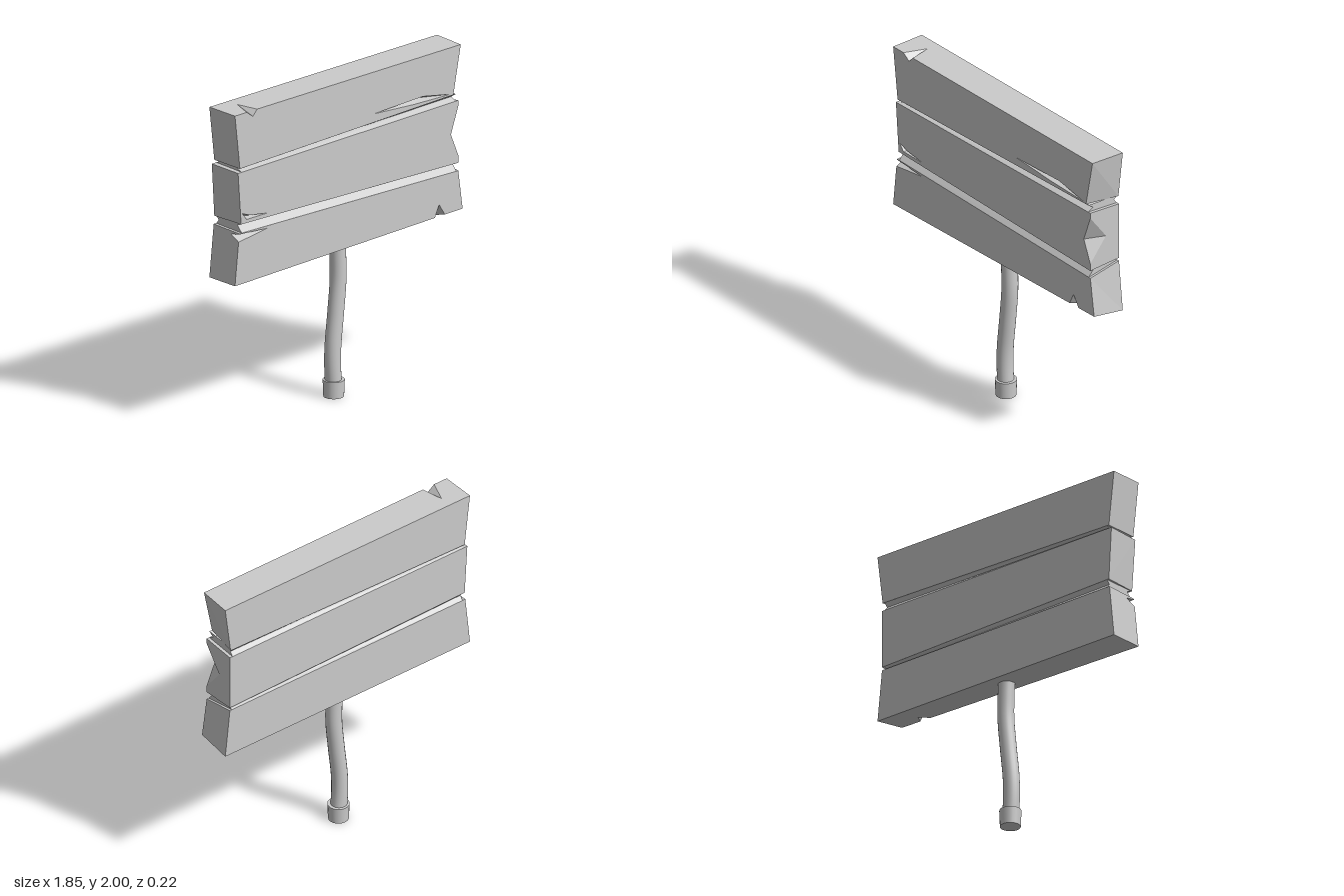
import * as THREE from 'three';

const FRONT = 0.11, BACK = -0.11;
const SIDE_DIRS = [[0, 1, 0], [1, 0, 0], [0, -1, 0], [-1, 0, 0]]; // top, right, bottom, left
const V = (p, z) => new THREE.Vector3(p[0], p[1], z ?? p[2]);

// Collects flat polygons (with optional holes), each turned to face along "out".
class FaceBuilder {
  constructor() { this.data = []; }

  face(points, out, holes = []) {
    const dir = new THREE.Vector3(...out);
    const size = out.map(Math.abs);
    const drop = size.indexOf(Math.max(...size));
    const flat = p => new THREE.Vector2(...p.toArray().filter((_, i) => i !== drop));
    const all = [...points, ...holes.flat()];
    const tris = THREE.ShapeUtils.triangulateShape(points.map(flat), holes.map(h => h.map(flat)));
    for (const t of tris) this.triangle(...t.map(i => all[i]), dir);
  }

  triangle(a, b, c, dir) {
    const n = b.clone().sub(a).cross(c.clone().sub(a));
    for (const p of n.dot(dir) < 0 ? [a, c, b] : [a, b, c]) this.data.push(p.x, p.y, p.z);
  }

  mesh(name, material) {
    const g = new THREE.BufferGeometry();
    g.setAttribute('position', new THREE.Float32BufferAttribute(this.data, 3));
    g.computeVertexNormals();
    const m = new THREE.Mesh(g, material);
    m.name = name;
    return m;
  }
}

// Corners run top left, top right, bottom right, bottom left as seen from the front.
// Notches break an edge between two fractions t; pits are cracks inside the front face.
function plank(name, material, front, back, notches, pits = []) {
  const fb = new FaceBuilder();
  const outline = [];
  const f = front.map(p => V(p, FRONT)), b = back.map(p => V(p, BACK));
  for (let i = 0; i < 4; i++) {
    const j = (i + 1) % 4;
    const side = [f[i]];
    outline.push(f[i]);
    for (const n of notches.filter(n => n.edge === i)) {
      const [start, end] = n.t.map(t => f[i].clone().lerp(f[j], t));
      const tip = V(n.tip, FRONT), inner = V(n.inner);
      const mid = start.clone().add(end).add(tip).add(inner).divideScalar(4);
      outline.push(start, tip, end);
      side.push(start, inner, end);
      for (const p of [start, end]) {
        const centre = p.clone().add(tip).add(inner).divideScalar(3);
        fb.triangle(p, tip, inner, mid.clone().sub(centre));
      }
    }
    side.push(f[j], b[j], b[i]);
    fb.face(side, SIDE_DIRS[i]);
  }
  const rims = pits.map(p => p.rim.map(q => V(q, FRONT)));
  fb.face(outline, [0, 0, 1], rims);
  fb.face(b, [0, 0, -1]);
  rims.forEach((rim, k) => rim.forEach((p, i) =>
    fb.triangle(p, rim[(i + 1) % rim.length], V(pits[k].inner), new THREE.Vector3(0, 0, 1))));
  return fb.mesh(name, material);
}

// V-shaped seam on both faces; each end lists top, valley and bottom heights.
function seam(name, material, x, frontY, backY) {
  const fb = new FaceBuilder();
  const loops = x.map((px, e) => [
    ...frontY[e].map((y, i) => new THREE.Vector3(px, y, [FRONT, 0.072, FRONT][i])),
    ...backY[e].map((y, i) => new THREE.Vector3(px, y, [BACK, -0.088, BACK][i])).reverse(),
  ]);
  const [l, r] = loops;
  for (const i of [0, 1, 3, 4]) fb.face([l[i], r[i], r[i + 1], l[i + 1]], [0, 0, i < 2 ? 1 : -1]);
  fb.face(l, [-1, 0, 0]);
  fb.face(r, [1, 0, 0]);
  return fb.mesh(name, material);
}

export function createModel() {
  const model = new THREE.Group();
  model.name = 'woodenSign';
  const wood = new THREE.MeshStandardMaterial({ color: 0xcccccc, flatShading: true, side: THREE.DoubleSide });
  const smooth = new THREE.MeshStandardMaterial({ color: 0xcccccc });

  // Three rough planks
  const board = new THREE.Group();
  board.name = 'board';
  board.add(
    plank('topPlank', wood,
      [[-0.925, 2], [0.905, 2], [0.845, 1.7], [-0.885, 1.66]],
      [[-0.925, 2], [0.92, 2], [0.88, 1.69], [-0.885, 1.66]],
      [{ edge: 0, t: [0.052, 0.098], tip: [-0.78, 1.963], inner: [-0.775, 2, -0.03] }],
      [{ rim: [[0.2, 1.738], [0.6, 1.75], [0.82, 1.709], [0.53, 1.717]], inner: [0.6, 1.728, 0.06] }]),
    plank('middlePlank', wood,
      [[-0.9, 1.635], [0.885, 1.655], [0.885, 1.265], [-0.875, 1.31]],
      [[-0.905, 1.64], [0.885, 1.64], [0.885, 1.275], [-0.885, 1.31]],
      [{ edge: 1, t: [0.09, 0.88], tip: [0.825, 1.455], inner: [0.885, 1.46, -0.01] }],
      [{ rim: [[-0.865, 1.375], [-0.8, 1.35], [-0.66, 1.33], [-0.83, 1.33]], inner: [-0.815, 1.337, 0.06] }]),
    plank('bottomPlank', wood,
      [[-0.89, 1.255], [0.885, 1.215], [0.92, 0.97], [-0.925, 0.935]],
      [[-0.89, 1.26], [0.885, 1.255], [0.92, 0.935], [-0.925, 0.935]],
      [
        { edge: 2, t: [0.078, 0.122], tip: [0.73, 1.04], inner: [0.735, 0.956, 0.04] },
        { edge: 3, t: [0.84, 0.985], tip: [-0.66, 1.235], inner: [-0.892, 1.237, 0.04] },
      ]));

  // Grooves joining the planks
  board.add(
    seam('upperSeam', wood, [-0.87, 0.865],
      [[1.66, 1.648, 1.635], [1.7, 1.675, 1.655]],
      [[1.66, 1.65, 1.64], [1.69, 1.665, 1.64]]),
    seam('lowerSeam', wood, [-0.87, 0.87],
      [[1.31, 1.297, 1.254], [1.265, 1.26, 1.215]],
      [[1.31, 1.285, 1.26], [1.275, 1.265, 1.255]]));
  model.add(board);

  // Bent post
  const path = new THREE.CatmullRomCurve3(
    [[-0.02, 0.03], [-0.03, 0.2], [-0.027, 0.32], [-0.005, 0.52], [0.014, 0.72], [0.012, 0.87], [0.005, 1]]
      .map(p => V(p, 0)));
  const post = new THREE.Mesh(new THREE.TubeGeometry(path, 32, 0.05, 20), smooth);
  post.name = 'post';

  // Collar at the foot of the post
  const foot = new THREE.Mesh(new THREE.CylinderGeometry(0.066, 0.062, 0.105, 20), smooth);
  foot.name = 'foot';
  foot.position.set(-0.021, 0.0525, 0);

  model.add(post, foot);
  return model;
}
